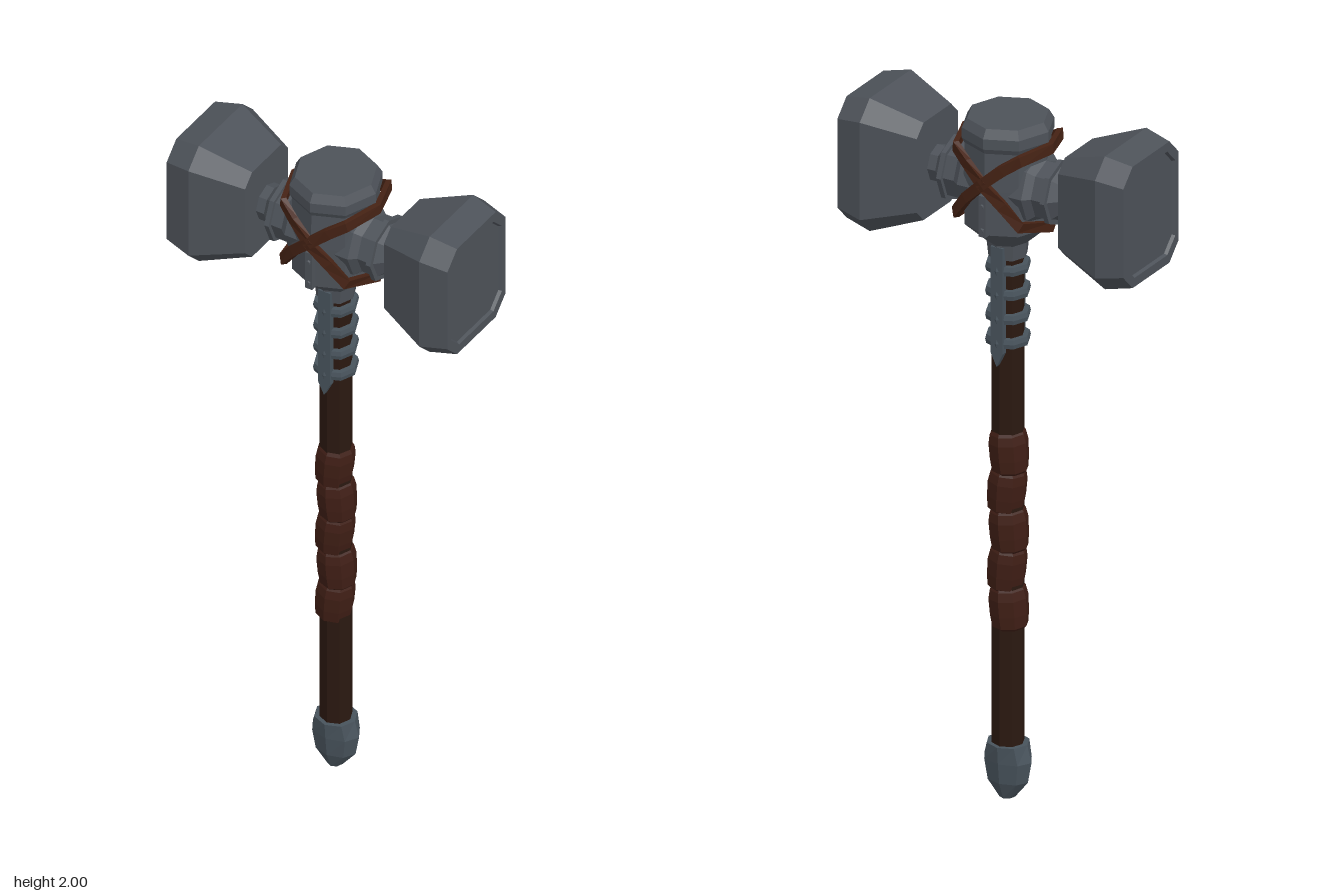
import * as THREE from 'three';

const mat = (color) => new THREE.MeshStandardMaterial({ color, flatShading: true });
const steel = mat(0x4d5259);
const blueSteel = mat(0x48535c);
const wood = mat(0x2a1810);
const grip = mat(0x3f1e15);
const leather = mat(0x452214);

const HEAD_Y = 1.807;

function add(parent, name, geometry, material) {
  const mesh = new THREE.Mesh(geometry, material);
  mesh.name = name;
  parent.add(mesh);
  return mesh;
}

function lathe(points, sides = 8) {
  return new THREE.LatheGeometry(points.map(([r, y]) => new THREE.Vector2(r, y)), sides);
}

// Skin between cross-sections of equal length; either capped or joined end to end
function loft(rings, closed = false) {
  const n = rings[0].length, pos = rings.flat(2), index = [];
  const spans = closed ? rings.length : rings.length - 1;
  for (let i = 0; i < spans; i++) {
    const a = i * n, b = ((i + 1) % rings.length) * n;
    for (let j = 0; j < n; j++) {
      const k = (j + 1) % n;
      index.push(a + j, a + k, b + k, a + j, b + k, b + j);
    }
  }
  if (!closed) {
    const last = (rings.length - 1) * n;
    for (let j = 1; j < n - 1; j++) {
      index.push(0, j + 1, j, last, last + j, last + j + 1);
    }
  }
  const g = new THREE.BufferGeometry();
  g.setAttribute('position', new THREE.Float32BufferAttribute(pos, 3));
  g.setIndex(index);
  const flat = g.toNonIndexed();
  flat.computeVertexNormals();
  return flat;
}

// Rectangle with cut corners, lying across the x axis
function cutRectangle(x, hy, hz, cut) {
  return [
    [hy - cut, hz], [hy, hz - cut], [hy, -hz + cut], [hy - cut, -hz],
    [-hy + cut, -hz], [-hy, -hz + cut], [-hy, hz - cut], [-hy + cut, hz],
  ].map(([y, z]) => [x, y, z]).reverse();
}

// One arm of the head: barrel, collar, neck and striking block
function hammerArm(name) {
  const arm = new THREE.Group();
  arm.name = name;
  arm.position.y = HEAD_Y;
  const barrel = lathe([
    [0.1, 0.02], [0.1, 0.1], [0.083, 0.12], [0.083, 0.154], [0.094, 0.154], [0.094, 0.168],
    [0.08, 0.168], [0.053, 0.195], [0.053, 0.24],
  ]).rotateZ(-Math.PI / 2);
  add(arm, 'armBarrel', barrel, steel);
  add(arm, 'strikingBlock', loft([
    cutRectangle(0.22, 0.143, 0.107, 0.035),
    cutRectangle(0.366, 0.195, 0.16, 0.052),
    cutRectangle(0.445, 0.178, 0.144, 0.048),
    cutRectangle(0.445, 0.152, 0.127, 0.042),
    cutRectangle(0.436, 0.148, 0.123, 0.04),
  ]), steel);
  return arm;
}

// Leather loop tilted round the core, high on one side and low on the other
function strap(side) {
  const half = [[0, 1.845, 0.137], [0.055, 1.893, 0.125], [0.1, 1.924, 0.106], [0.133, 1.93, 0]];
  const low = [[-0.133, 1.7, 0], [-0.1, 1.73, 0.106], [-0.055, 1.79, 0.125]];
  const back = ([x, y, z]) => [x, y, -z];
  const path = [
    ...half, back(half[2]), back(half[1]), back(half[0]),
    back(low[2]), back(low[1]), ...low,
  ].map(([x, y, z]) => new THREE.Vector3(x * side, y, z));
  if (side < 0) path.reverse();
  const rings = path.map((p, i) => {
    const n = path.length;
    const tangent = path[(i + 1) % n].clone().sub(path[(i + n - 1) % n]).normalize();
    const out = new THREE.Vector3(p.x, 0, p.z).normalize();
    const across = new THREE.Vector3().crossVectors(out, tangent).normalize();
    return [[-1, -1], [-1, 1], [1, 1], [1, -1]].map(([w, t]) =>
      p.clone().addScaledVector(across, w * 0.015).addScaledVector(out, t * 0.008).toArray());
  });
  const g = loft(rings, true);
  return g;
}

export function createModel() {
  const model = new THREE.Group();
  model.name = 'warHammer';

  // Head core
  add(model, 'headCore', lathe([
    [0, 1.59], [0.055, 1.59], [0.06, 1.635], [0.122, 1.69], [0.125, 1.82],
    [0.122, 1.93], [0.13, 1.945], [0.13, 1.975], [0.115, 2], [0, 2],
  ]), steel).scale.x = 0.97;

  // Arms, mirrored by a half turn
  model.add(hammerArm('leftArm'));
  const rightArm = hammerArm('rightArm');
  rightArm.rotation.y = Math.PI;
  model.add(rightArm);

  // Crossed straps
  const strapMaterial = leather.clone();
  strapMaterial.side = THREE.DoubleSide;
  for (const side of [1, -1]) {
    add(model, side > 0 ? 'leftStrap' : 'rightStrap', strap(side), strapMaterial);
  }

  // Shaft
  add(model, 'shaft', new THREE.CylinderGeometry(0.045, 0.045, 1.5, 8).translate(0, 0.87, 0), wood);

  // Wrapped grip of gently leaning bulges
  for (let i = 0; i < 5; i++) {
    const bulge = add(model, 'gripWrap', lathe([
      [0.043, -0.062], [0.05, -0.055], [0.054, -0.02], [0.055, 0.025], [0.05, 0.05], [0.043, 0.062],
    ]), grip);
    bulge.position.set(i % 2 ? 0.003 : -0.003, 0.56 + i * 0.114, 0);
    bulge.rotation.z = i % 2 ? 0.08 : -0.08;
  }

  // Metal bands below the head
  for (let i = 0; i < 4; i++) {
    add(model, 'shaftBand', lathe([
      [0.044, -0.013], [0.06, -0.013], [0.063, 0], [0.06, 0.013], [0.044, 0.013],
    ]), blueSteel).position.y = 1.347 + i * 0.071;
  }

  // Pointed splints on front and back, with a ridge on the core above
  const outline = new THREE.Shape([
    [0, 1.28], [0.019, 1.32], [0.019, 1.63], [-0.019, 1.63], [-0.019, 1.32],
  ].map(([x, y]) => new THREE.Vector2(x, y)));
  for (const turn of [0, Math.PI]) {
    const fittings = new THREE.Group();
    fittings.name = turn ? 'backFittings' : 'frontFittings';
    fittings.rotation.y = turn;
    add(fittings, 'splint', new THREE.ExtrudeGeometry(outline, { depth: 0.018, bevelEnabled: false })
      .translate(0, 0, 0.042), blueSteel);
    add(fittings, 'coreRidge', new THREE.BoxGeometry(0.022, 0.12, 0.02).translate(0, 1.75, 0.126), steel);
    for (const y of [1.71, 1.78]) {
      add(fittings, 'rivet', new THREE.CylinderGeometry(0.006, 0.008, 0.008, 6)
        .rotateX(Math.PI / 2).translate(0, y, 0.137), steel);
    }
    model.add(fittings);
  }

  // Pommel, wider across than deep
  const pommelRings = [
    [0, 0.022, 0.026], [0.05, 0.062, 0.046], [0.11, 0.073, 0.053], [0.16, 0.06, 0.057],
  ].map(([y, rx, rz]) => Array.from({ length: 8 }, (_, i) => {
    const a = (i / 8) * Math.PI * 2;
    return [rx * Math.sin(a), y, rz * Math.cos(a)];
  }));
  add(model, 'pommel', loft(pommelRings), blueSteel);

  return model;
}
